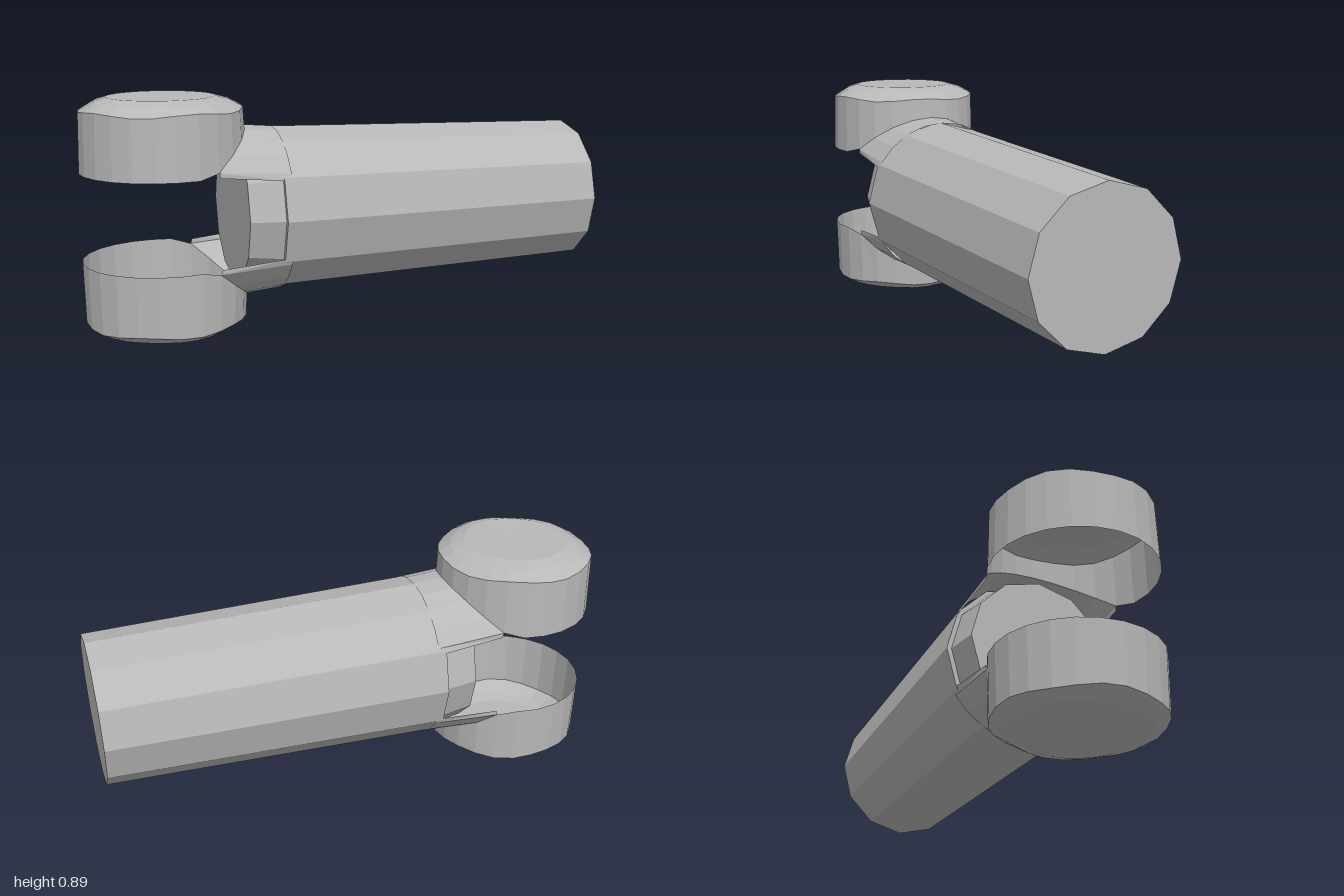
import * as THREE from 'three';

const MID = 0.445;      // height of the rod axis
const CUP_X = -0.693;   // cup centre
const CUP_R = 0.307;
const SIDES = 24;

// Skin a list of equal-length rows of points
function loft(rows) {
  const pos = [];
  for (let i = 0; i < rows.length - 1; i++) {
    for (let j = 0; j < rows[i].length - 1; j++) {
      const a = rows[i][j], b = rows[i][j + 1], c = rows[i + 1][j + 1], d = rows[i + 1][j];
      pos.push(...a, ...b, ...c, ...a, ...c, ...d);
    }
  }
  const g = new THREE.BufferGeometry();
  g.setAttribute('position', new THREE.Float32BufferAttribute(pos, 3));
  g.computeVertexNormals();
  return g;
}

export function createModel() {
  const grey = new THREE.MeshStandardMaterial({ color: 0xb8b8b8, flatShading: true, side: THREE.DoubleSide });
  grey.name = 'plain grey';
  const group = new THREE.Group();
  group.name = 'forkedRod';
  const add = (parent, geometry, name) => {
    const mesh = new THREE.Mesh(geometry, grey);
    mesh.name = name;
    parent.add(mesh);
    return mesh;
  };

  // Tapered twelve-sided rod
  const rod = new THREE.CylinderGeometry(0.285, 0.315, 1.3, 12);
  rod.rotateZ(-Math.PI / 2);
  rod.translate(0.35, MID, 0);
  add(group, rod, 'rod');

  // Short neck closing the fork
  const neck = new THREE.CylinderGeometry(0.3, 0.275, 0.15, 12);
  neck.rotateZ(-Math.PI / 2);
  neck.translate(-0.355, MID, 0);
  add(group, neck, 'neck');

  // Rim of a cup: flat on the open side, arched over the neck on the other
  const rimY = (a) => Math.abs(a) > 1.06 ? 0.613
    : MID + Math.sqrt(0.325 ** 2 - (CUP_R * Math.sin(a)) ** 2);
  const cupPoint = (a, r, y) => [CUP_X + r * Math.cos(a), y, r * Math.sin(a)];

  function makeCup(name) {
    const cup = new THREE.Group();
    cup.name = name;
    const rows = [[], [], [], [], []];
    for (let i = 0; i <= SIDES; i++) {
      const a = -Math.PI + (i / SIDES) * Math.PI * 2;
      const wave = 0.006 * Math.sin(a * 5 + 1);
      rows[0].push(cupPoint(a, 0, 0.886));
      rows[1].push(cupPoint(a, 0.2, 0.889));
      rows[2].push(cupPoint(a, 0.25 + wave, 0.874));
      rows[3].push(cupPoint(a, 0.302, 0.843 + wave));
      rows[4].push(cupPoint(a, CUP_R, rimY(a)));
    }
    // Rows run from the crown outward; reversing the angle keeps faces outward
    rows.forEach((row) => row.reverse());
    add(cup, loft(rows.reverse()), 'cupShell');

    // Shoulder joining the arched rim to the rod
    const inner = [], outer = [];
    const edge = (s) => {
      inner.push([-0.535, 0.613, s * 0.266]);
      outer.push([-0.28, 0.59, s * 0.275]);
    };
    edge(-1);
    for (let i = -4; i <= 4; i++) {
      const a = i * Math.PI / 12;
      const z = CUP_R * Math.sin(a);
      inner.push(cupPoint(a, CUP_R, rimY(a)));
      outer.push([-0.27, MID + Math.sqrt(0.315 ** 2 - z * z), z]);
    }
    edge(1);
    add(cup, loft([inner, outer]), 'shoulder');
    return cup;
  }

  // Upper cup and its mirror image below
  const upper = makeCup('upperCup');
  const lower = makeCup('lowerCup');
  lower.scale.y = -1;
  lower.position.y = 2 * MID;
  group.add(upper, lower);
  return group;
}
